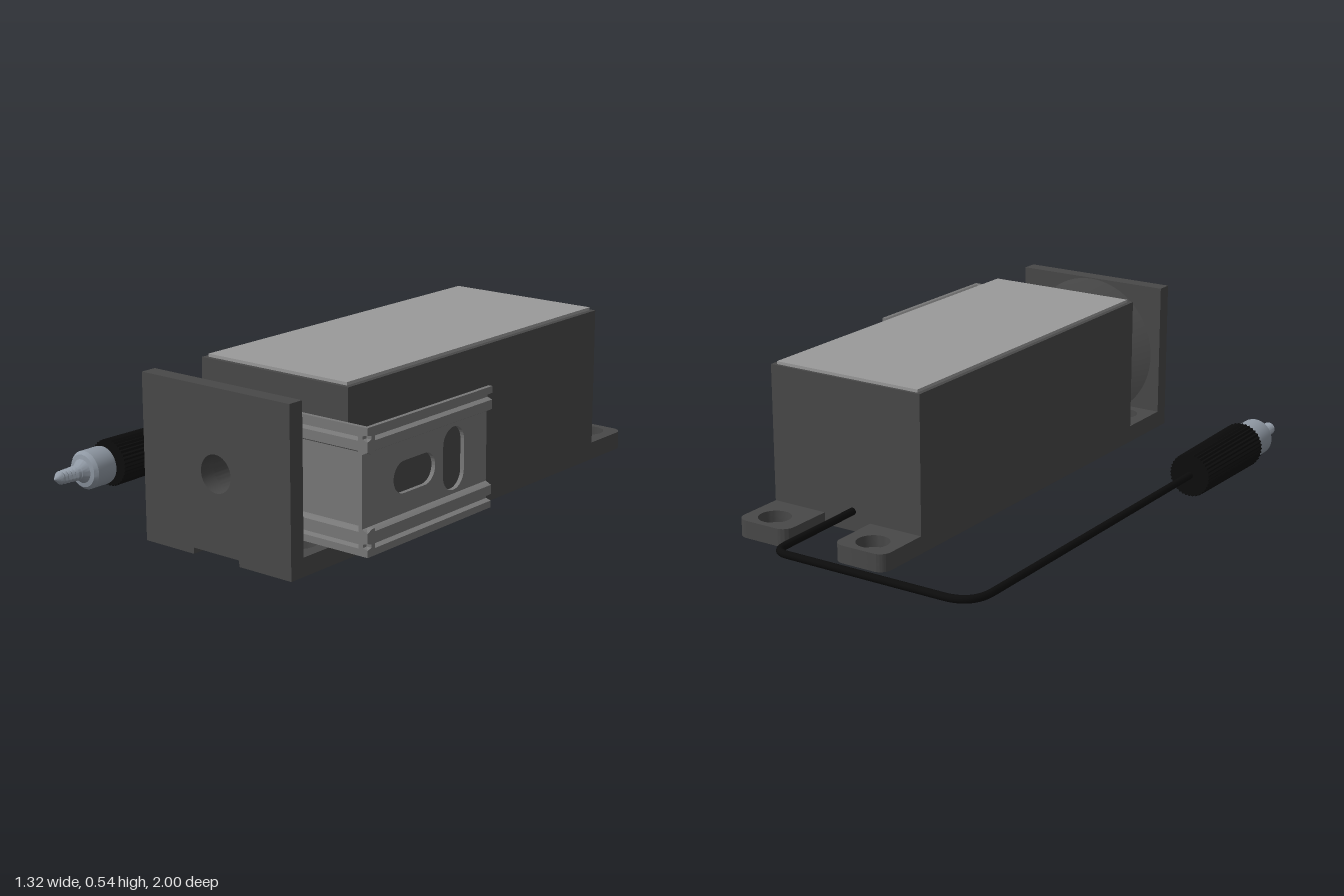
import * as THREE from 'three';
import { toCreasedNormals } from 'three/addons/utils/BufferGeometryUtils.js';

const mat = (color) => new THREE.MeshStandardMaterial({ color, side: THREE.DoubleSide });
const V2 = (pts) => pts.map(([x, y]) => new THREE.Vector2(x, y));

export function createModel() {
  const root = new THREE.Group();
  const dark = mat(0x484848), black = mat(0x0c0c0c), panelGrey = mat(0x9a9a9a);
  const railGrey = mat(0x777777), steel = mat(0x8f98a3), light = mat(0xcccccc);
  const CX = 0.187, CY = 0.27;

  function add(name, geo, material, parent = root) {
    const m = new THREE.Mesh(geo, material);
    m.name = name;
    parent.add(m);
    return m;
  }
  function box(name, x0, x1, y0, y1, z0, z1, material) {
    const m = add(name, new THREE.BoxGeometry(x1 - x0, y1 - y0, z1 - z0), material);
    m.position.set((x0 + x1) / 2, (y0 + y1) / 2, (z0 + z1) / 2);
    return m;
  }
  const extrude = (shape, depth) =>
    toCreasedNormals(new THREE.ExtrudeGeometry(shape, { depth, bevelEnabled: false, curveSegments: 20 }), 0.5);
  const circle = (x, y, r) => new THREE.Path().absarc(x, y, r, 0, Math.PI * 2, true);
  // turned part whose axis runs along +z; profile is [radius, z]
  const turned = (pts, seg = 40) =>
    toCreasedNormals(new THREE.LatheGeometry(V2(pts), seg).rotateX(Math.PI / 2), 0.5);

  // horizontal slab from a plan shape drawn in (x, -z)
  function slab(name, shape, y0, y1) {
    const m = add(name, extrude(shape, y1 - y0).rotateX(-Math.PI / 2), dark);
    m.position.y = y0;
  }

  // base: two feet strips with a channel between, joined by the upper layer
  const holeX = [-0.01, 0.385];
  function strip(s, x0, x1) {
    const r = 0.04;
    s.lineTo(x1, 0.78 - r);
    s.absarc(x1 - r, 0.78 - r, r, 0, Math.PI / 2, false);
    s.absarc(x0 + r, 0.78 - r, r, Math.PI / 2, Math.PI, false);
  }
  [[-0.11, 0.09], [0.275, 0.48]].forEach(([x0, x1], i) => {
    const s = new THREE.Shape();
    s.moveTo(x0, -0.99);
    s.lineTo(x1, -0.99);
    strip(s, x0, x1);
    s.closePath();
    for (const z of [0.855, -0.25, -0.7]) s.holes.push(circle(holeX[i], -z, 0.045));
    slab('footStrip', s, 0, 0.02);
  });
  const upper = new THREE.Shape();
  upper.moveTo(-0.11, -0.99);
  upper.lineTo(0.48, -0.99);
  strip(upper, 0.275, 0.48);
  upper.lineTo(0.275, 0.58);
  upper.lineTo(0.09, 0.58);
  strip(upper, -0.11, 0.09);
  upper.closePath();
  for (const x of holeX) for (const z of [0.855, -0.7]) upper.holes.push(circle(x, -z, 0.055));
  slab('basePlate', upper, 0.02, 0.06);

  // main housing and its lid
  box('housing', -0.11, 0.48, 0.06, 0.53, -0.58, 0.74, dark);
  box('lid', -0.095, 0.463, 0.53, 0.54, -0.57, 0.725, panelGrey);

  // front plate with central hole and bottom notch
  const plate = new THREE.Shape(V2([
    [-0.11, 0], [0.09, 0], [0.09, 0.02], [0.275, 0.02], [0.275, 0],
    [0.48, 0], [0.48, 0.535], [-0.11, 0.535]]));
  plate.holes.push(circle(CX, CY, 0.06));
  add('frontPlate', extrude(plate, 0.055), dark).position.z = 0.945;
  // conical boss on the rear of the plate
  add('plateBoss', turned([[0.06, 0.95], [0.06, 0.88], [0.1, 0.88], [0.264, 0.946]], 64), dark)
    .position.set(CX, CY, 0);

  // pivot: shaft, flange and rounded head
  add('pivotShaft', turned([[0, 0.73], [0.06, 0.73], [0.06, 0.78], [0, 0.78]]), light)
    .position.set(CX, CY, 0);
  add('pivotFlange', turned([[0, 0.768], [0.14, 0.768], [0.192, 0.795], [0.192, 0.84],
    [0.18, 0.862], [0, 0.862]], 56), railGrey).position.set(CX, CY, 0);
  const head = add('pivotHead', new THREE.SphereGeometry(0.075, 40, 24), light);
  head.position.set(CX, CY, 0.855);
  head.scale.z = 0.5;

  // rail arm along local x, outer face at z = 0
  function slot(cx, cy, w, h) {
    const p = new THREE.Path(), r = Math.min(w, h) / 2, dx = w / 2 - r, dy = h / 2 - r;
    [[1, 1], [-1, 1], [-1, -1], [1, -1]].forEach(([sx, sy], i) =>
      p.absarc(cx + sx * dx, cy + sy * dy, r, i * Math.PI / 2, (i + 1) * Math.PI / 2, false));
    p.closePath();
    return p;
  }
  function railArm(name, length, trim, slots) {
    const g = new THREE.Group();
    g.name = name;
    const web = new THREE.Shape(V2([[0, 0.155], [length - trim, 0.155], [length - trim, 0.385], [0, 0.385]]));
    web.holes.push(...slots);
    add('railWeb', extrude(web, 0.014), railGrey, g).position.z = -0.034;
    // ridged edges, [outward offset, distance from the rail centre line]
    const ridge = [[-0.034, 0.112], [-0.02, 0.112], [0, 0.122], [0, 0.152], [-0.018, 0.158],
      [-0.018, 0.168], [0, 0.173], [0, 0.195], [-0.014, 0.195], [-0.034, 0.18]];
    for (const side of [1, -1]) {
      const s = new THREE.Shape(V2(ridge.map(([u, v]) => [-u, CY + side * v])));
      add('railEdge', extrude(s, length).rotateY(Math.PI / 2), railGrey, g);
    }
    root.add(g);
    return g;
  }
  railArm('railFrontArm', 0.435, 0.02, []).position.set(0.22, 0, 0.865);
  const sideArm = railArm('railSideArm', 0.605, 0,
    [slot(0.245, CY, 0.2, 0.1), slot(0.437, CY, 0.105, 0.2)]);
  sideArm.position.set(0.655, 0, 0.865);
  sideArm.rotation.y = Math.PI / 2;

  // cable with two rounded bends
  const CABLE_Y = 0.088, PX = -0.582;
  const P = (x, z) => new THREE.Vector3(x, CABLE_Y, z);
  const path = new THREE.CurvePath();
  path.add(new THREE.LineCurve3(P(0.16, -0.56), P(0.153, -0.93)));
  path.add(new THREE.QuadraticBezierCurve3(P(0.153, -0.93), P(0.153, -0.988), P(0.1, -0.988)));
  path.add(new THREE.LineCurve3(P(0.1, -0.988), P(-0.48, -0.988)));
  path.add(new THREE.QuadraticBezierCurve3(P(-0.48, -0.988), P(PX, -0.988), P(PX, -0.88)));
  path.add(new THREE.LineCurve3(P(PX, -0.88), P(PX, 0.33)));
  add('cable', new THREE.TubeGeometry(path, 220, 0.0125, 12), black);

  // plug: fluted grip, metal collar and threaded tip
  const plug = new THREE.Group();
  plug.name = 'plug';
  plug.position.set(PX, CABLE_Y, 0);
  root.add(plug);
  const gripShape = new THREE.Shape();
  for (let i = 0; i < 72; i++) {
    const a = i / 72 * Math.PI * 2, r = i % 2 ? 0.075 : 0.08;
    gripShape[i ? 'lineTo' : 'moveTo'](r * Math.cos(a), r * Math.sin(a));
  }
  gripShape.closePath();
  const grip = extrude(gripShape, 0.385), pos = grip.attributes.position;
  for (let i = 0; i < pos.count; i++) {
    const k = 0.94 + 0.06 * pos.getZ(i) / 0.385;
    pos.setXY(i, pos.getX(i) * k, pos.getY(i) * k);
  }
  add('grip', grip, black, plug).position.z = 0.32;
  add('collar', turned([[0, 0.73], [0.063, 0.73], [0.065, 0.74], [0.065, 0.81], [0.055, 0.822],
    [0.04, 0.825], [0.025, 0.845], [0.016, 0.87], [0, 0.87]]), steel, plug);
  const thread = [[0, 0.835]];
  for (let i = 0; i < 6; i++) thread.push([0.018, 0.838 + i * 0.015], [0.027 - i * 0.0008, 0.845 + i * 0.015]);
  thread.push([0.02, 0.926], [0, 0.948]);
  add('threadedTip', turned(thread, 24), steel, plug);

  return root;
}
